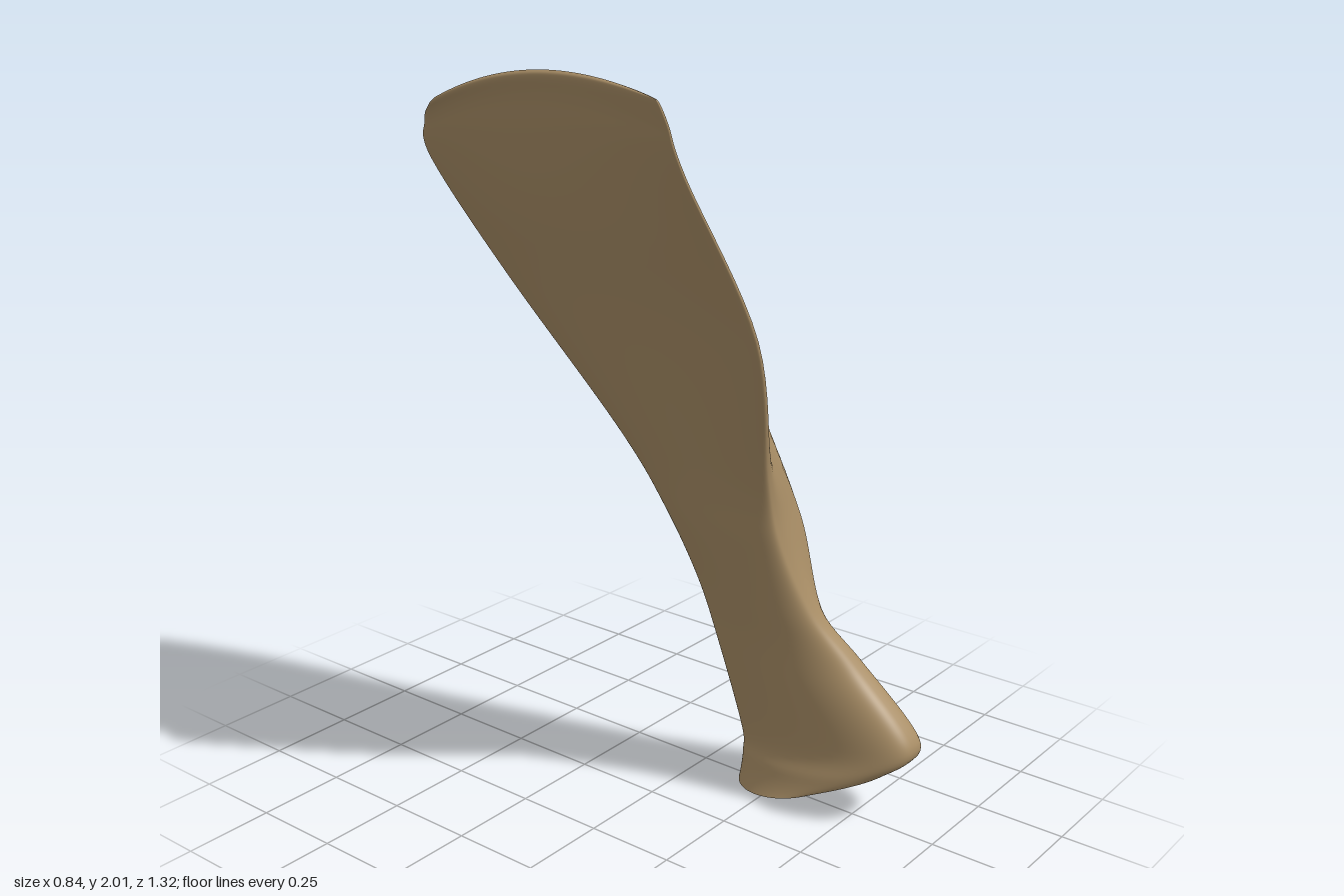
import * as THREE from 'three';

// Sections from the joint up to the top border:
// front edge y, z, x | back edge y, z, x | half thickness
const SECTIONS = [
  [0.10, 0.46, 0.26, 0.01, 0.12, 0.31, 0.140],
  [0.16, 0.60, 0.28, 0.08, 0.12, 0.31, 0.125],
  [0.25, 0.66, 0.29, 0.15, 0.11, 0.30, 0.100],
  [0.45, 0.50, 0.25, 0.40, 0.06, 0.25, 0.075],
  [0.60, 0.40, 0.18, 0.60, 0.00, 0.22, 0.058],
  [0.80, 0.35, 0.10, 0.80, -0.09, 0.18, 0.046],
  [1.00, 0.355, 0.03, 1.00, -0.21, 0.13, 0.037],
  [1.40, 0.43, -0.14, 1.40, -0.50, 0.01, 0.026],
  [1.80, 0.37, -0.34, 1.72, -0.65, -0.12, 0.021],
  [1.92, 0.36, -0.39, 1.83, -0.62, -0.17, 0.019],
  [1.97, 0.35, -0.41, 1.88, -0.56, -0.21, 0.016],
  [1.98, 0.34, -0.415, 1.90, -0.53, -0.22, 0],
];
const AROUND = 128;
const STEPS = 8;
const { smoothstep } = THREE.MathUtils;

// Smooth blend between neighbouring sections
function sectionAt(s) {
  const last = SECTIONS.length - 1;
  const i = Math.min(Math.floor(s), last - 1), f = s - i;
  const at = k => SECTIONS[Math.max(0, Math.min(last, k))];
  return SECTIONS[i].map((b, c) => {
    const a = at(i - 1)[c], d = at(i + 1)[c], e = at(i + 2)[c];
    return b + 0.5 * f * (d - a + f * (2 * a - 5 * b + 4 * d - e + f * (3 * (b - d) + e - a)));
  });
}

// Spine ridge: leans forward towards the neck and fades out at both ends
function spineBump(y, z) {
  const height = 0.145 * smoothstep(y, 0.4, 0.85) * (1 - smoothstep(y, 1.3, 1.9));
  const d = z - (0.42 - 0.16 * y);
  return height * Math.exp(-((d / (d > 0 ? 0.075 : 0.06)) ** 2));
}

// One closed loop: front edge, lateral side with the spine, back edge, medial side
function ring(s) {
  const [yf, zf, xf, yb, zb, xb, thickness] = sectionAt(s);
  const bow = -0.05 * Math.sin(Math.PI * yf / 2);
  const arch = 0.065 * smoothstep(yf, 1.6, 2);
  const lip = 0.025 * (1 - smoothstep(yf, 0.1, 0.22));
  const points = [];
  for (let j = 0; j < AROUND; j++) {
    const angle = j / AROUND * Math.PI * 2;
    const sin = Math.sin(angle), u = (1 - Math.cos(angle)) / 2;
    const mid = 4 * u * (1 - u);
    const y = yf + (yb - yf) * u + arch * mid + lip * sin;
    const z = zf + (zb - zf) * u;
    let x = xf + (xb - xf) * u + bow * mid + Math.sign(sin) * thickness * Math.abs(sin) ** 0.65;
    if (sin > 0) x += spineBump(y, z) * Math.min(1, sin * 1.8);
    points.push(new THREE.Vector3(x, y, z));
  }
  return points;
}

// Skin over a stack of loops
function loft(rings) {
  const index = [];
  for (let i = 0; i < rings.length - 1; i++) {
    for (let j = 0; j < AROUND; j++) {
      const a = i * AROUND + j, b = i * AROUND + (j + 1) % AROUND;
      index.push(a, b, a + AROUND, b, b + AROUND, a + AROUND);
    }
  }
  const geometry = new THREE.BufferGeometry().setFromPoints(rings.flat());
  geometry.setIndex(index);
  geometry.computeVertexNormals();
  return geometry;
}

export function createModel() {
  const group = new THREE.Group();
  group.name = 'shoulderBlade';
  const bone = new THREE.MeshStandardMaterial({ color: 0xa98e66 });
  bone.name = 'bone';
  const add = (name, geometry) => {
    const mesh = new THREE.Mesh(geometry, bone);
    mesh.name = name;
    group.add(mesh);
  };

  // Blade, neck and spine ridge
  const rings = [];
  for (let i = 0; i <= (SECTIONS.length - 1) * STEPS; i++) rings.push(ring(i / STEPS));
  add('blade', loft(rings));

  // Hollow joint socket underneath
  const rim = rings[0];
  const centre = rim.reduce((sum, p) => sum.add(p), new THREE.Vector3()).divideScalar(AROUND);
  const socket = [];
  for (let i = 0; i <= 8; i++) {
    const r = i / 8;
    socket.push(rim.map(p => {
      const q = centre.clone().lerp(p, r);
      q.y += 0.05 * (1 - r * r);
      return q;
    }));
  }
  add('jointSocket', loft(socket));
  return group;
}
